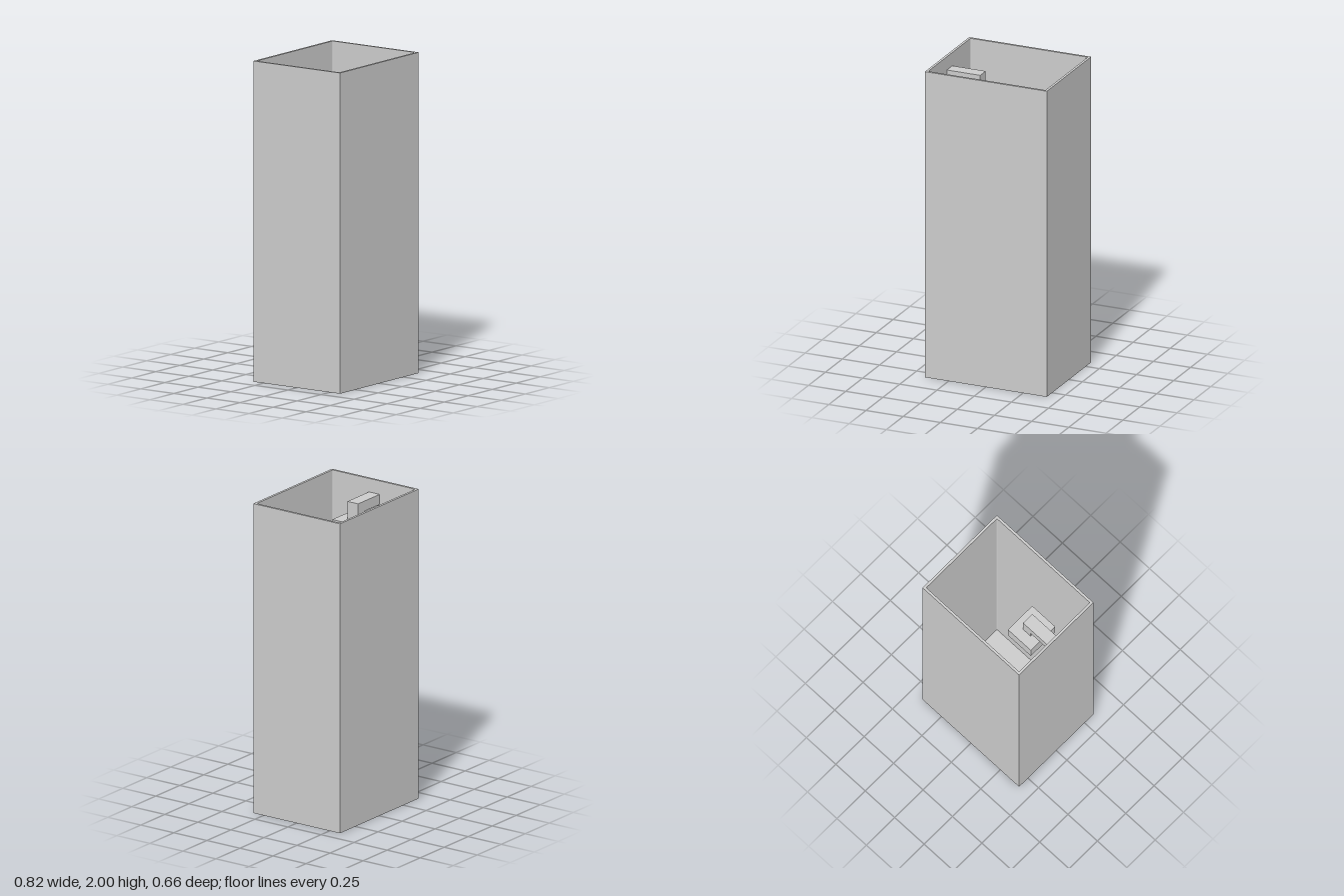
import * as THREE from 'three';

export function createModel() {
  const model = new THREE.Group();
  const material = new THREE.MeshStandardMaterial({ color: 0xcccccc, flatShading: true });

  const add = (parent, name, geometry) => {
    const mesh = new THREE.Mesh(geometry, material);
    mesh.name = name;
    parent.add(mesh);
  };
  // Box given by its low and high corners
  const span = ([x0, y0, z0], [x1, y1, z1]) =>
    new THREE.BoxGeometry(x1 - x0, y1 - y0, z1 - z0)
      .translate((x0 + x1) / 2, (y0 + y1) / 2, (z0 + z1) / 2);

  const W = 0.41, D = 0.328, H = 2, wall = 0.016, r = 0.006;

  // Open-topped container: thin walls with slightly rounded inner corners, on a floor
  const container = new THREE.Group();
  container.name = 'container';
  const outline = new THREE.Shape();
  outline.moveTo(-W, -D).lineTo(W, -D).lineTo(W, D).lineTo(-W, D).closePath();
  const w = W - wall, d = D - wall;
  const hole = new THREE.Path();
  hole.absarc(w - r, d - r, r, 0, Math.PI / 2);
  hole.absarc(-w + r, d - r, r, Math.PI / 2, Math.PI);
  hole.absarc(-w + r, -d + r, r, Math.PI, Math.PI * 1.5);
  hole.absarc(w - r, -d + r, r, Math.PI * 1.5, Math.PI * 2);
  hole.closePath();
  outline.holes.push(hole);
  add(container, 'walls',
    new THREE.ExtrudeGeometry(outline, { depth: H - wall, bevelEnabled: false, curveSegments: 4 })
      .rotateX(-Math.PI / 2).translate(0, wall, 0));
  add(container, 'floor', span([-W, 0, -D], [W, wall, D]));
  model.add(container);

  // Bracket on the right wall: an arm, a drop leg and the block hanging from it
  const bracket = new THREE.Group();
  bracket.name = 'bracket';
  const arm = new THREE.Shape();
  arm.moveTo(-w, 1.913).lineTo(-w, 1.848).lineTo(-0.235, 1.848).lineTo(-0.235, 1.8)
    .lineTo(-0.17, 1.8).lineTo(-0.17, 1.913).closePath();
  add(bracket, 'arm',
    new THREE.ExtrudeGeometry(arm, { depth: 0.081, bevelEnabled: false }).translate(0, 0, -0.044));
  add(bracket, 'hangingBlock', span([-0.3, 1.7, -0.11], [-0.105, 1.8, 0.105]));
  model.add(bracket);

  return model;
}
